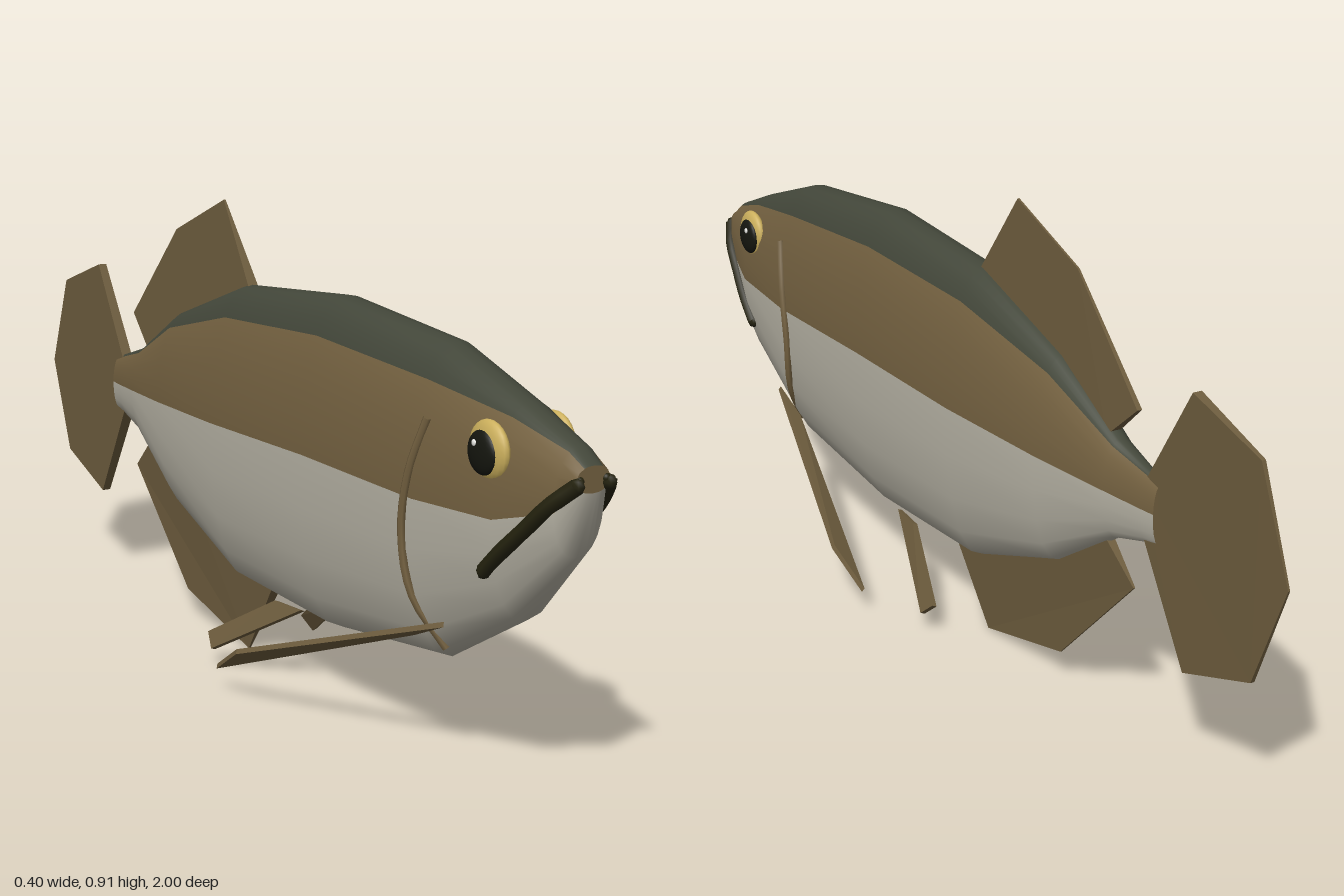
import * as THREE from 'three';
import { ConvexGeometry } from 'three/addons/geometries/ConvexGeometry.js';

const mat = (name, color, extra = {}) => {
  const m = new THREE.MeshStandardMaterial({ color, ...extra });
  m.name = name;
  return m;
};

// Body stations: z, top, bottom, half width, lower edge of back colour, upper edge of belly colour
const STATIONS = [
  [0.99, 0.62, 0.575, 0.034, 0.617, 0.582],
  [0.955, 0.645, 0.46, 0.052, 0.638, 0.54],
  [0.83, 0.692, 0.32, 0.08, 0.672, 0.505],
  [0.62, 0.76, 0.195, 0.094, 0.7, 0.495],
  [0.27, 0.79, 0.15, 0.1, 0.72, 0.5],
  [-0.08, 0.76, 0.16, 0.094, 0.7, 0.49],
  [-0.35, 0.665, 0.255, 0.07, 0.635, 0.48],
  [-0.53, 0.56, 0.37, 0.04, 0.55, 0.47],
  [-0.62, 0.532, 0.395, 0.024, 0.526, 0.465],
  [-0.655, 0.522, 0.4, 0.02, 0.517, 0.465],
];

const bulge = (c) => Math.sign(c) * Math.abs(c) ** 0.85;

// Half width of the body at a given z and y
function surfaceX(z, y) {
  let i = 0;
  while (i < STATIONS.length - 2 && STATIONS[i + 1][0] > z) i++;
  const a = STATIONS[i], b = STATIONS[i + 1];
  const t = (a[0] - z) / (a[0] - b[0]);
  const [top, bot, w] = [1, 2, 3].map((k) => THREE.MathUtils.lerp(a[k], b[k], t));
  const s = (y - (top + bot) / 2) / ((top - bot) / 2);
  return w * bulge(Math.sqrt(Math.max(0, 1 - s * s)));
}

// Lofted body with back, flank and belly bands as material groups
function bodyGeometry() {
  const BANDS = [[4, 1], [8, 0], [4, 1], [10, 2]];
  const n = 26;
  const pos = [];
  const lists = [[], [], []];
  STATIONS.forEach(([z, top, bot, w, yd, yw]) => {
    const cy = (top + bot) / 2, h = (top - bot) / 2;
    const ad = Math.asin((yd - cy) / h), aw = Math.asin((yw - cy) / h);
    const edges = [aw, ad, Math.PI - ad, Math.PI - aw, 2 * Math.PI + aw];
    BANDS.forEach(([count], k) => {
      for (let j = 0; j < count; j++) {
        const a = THREE.MathUtils.lerp(edges[k], edges[k + 1], j / count);
        pos.push(w * bulge(Math.cos(a)), cy + h * Math.sin(a), z);
      }
    });
  });
  for (let i = 0; i < STATIONS.length - 1; i++) {
    let j = 0;
    BANDS.forEach(([count, colour]) => {
      for (let k = 0; k < count; k++, j++) {
        const a = i * n + j, b = i * n + ((j + 1) % n);
        lists[colour].push(a, a + n, b, b, a + n, b + n);
      }
    });
  }
  // Flat snout and tail-root caps
  [0, STATIONS.length - 1].forEach((s) => {
    const base = pos.length / 3;
    const [z, top, bot] = STATIONS[s];
    pos.push(...pos.slice(s * n * 3, (s + 1) * n * 3), 0, (top + bot) / 2, z);
    for (let j = 0; j < n; j++) {
      const a = base + j, b = base + ((j + 1) % n);
      lists[1].push(base + n, ...(s === 0 ? [a, b] : [b, a]));
    }
  });
  const g = new THREE.BufferGeometry();
  g.setAttribute('position', new THREE.Float32BufferAttribute(pos, 3));
  g.setIndex(lists.flat());
  let start = 0;
  lists.forEach((l, i) => {
    g.addGroup(start, l.length, i);
    start += l.length;
  });
  g.computeVertexNormals();
  return g;
}

// Upright fin on the centre plane: outline in (z, y), thickness given by a rule
function finGeometry(outline, thickness) {
  const shape = new THREE.Shape(outline.map(([z, y]) => new THREE.Vector2(z, y)));
  const g = new THREE.ExtrudeGeometry(shape, { depth: 1, bevelEnabled: false });
  g.rotateY(-Math.PI / 2).translate(0.5, 0, 0);
  const p = g.attributes.position;
  for (let i = 0; i < p.count; i++) p.setX(i, p.getX(i) * thickness(p.getZ(i), p.getY(i)));
  g.computeVertexNormals();
  return g;
}

// Thin four-cornered plate
function plateGeometry(corners, thickness) {
  const v = corners.map((c) => new THREE.Vector3(...c));
  const normal = v[2].clone().sub(v[0]).cross(v[3].clone().sub(v[1])).normalize();
  return new ConvexGeometry(
    v.flatMap((c) => [-0.5, 0.5].map((s) => c.clone().addScaledVector(normal, s * thickness))));
}

export function createModel() {
  const back = mat('dark back', 0x43473a);
  const flank = mat('brown flank', 0x756241);
  const belly = mat('pale belly', 0xb8b4a6);
  const fin = mat('fin brown', 0x6e5d3e);
  const mouth = mat('mouth dark', 0x25230f, { side: THREE.DoubleSide });
  const gold = mat('eye gold', 0xcbaf5c);
  const black = mat('pupil black', 0x15160f);
  const white = mat('eye glint', 0xf2f2ee);

  const fish = new THREE.Group();
  fish.name = 'fish';
  const add = (name, geometry, material) => {
    const m = new THREE.Mesh(geometry, material);
    m.name = name;
    fish.add(m);
    return m;
  };

  add('body', bodyGeometry(), [back, flank, belly]);

  // Centre fins, thick at the root and thin at the edge
  const taper = (v, from, to) => THREE.MathUtils.mapLinear(
    THREE.MathUtils.clamp(v, Math.min(from, to), Math.max(from, to)), from, to, 0.024, 0.004);
  add('dorsalFin', finGeometry(
    [[-0.06, 0.74], [-0.185, 0.917], [-0.385, 0.835], [-0.58, 0.63], [-0.5, 0.56], [-0.35, 0.62]],
    (z, y) => taper(y + Math.max(0, -z - 0.185) * 0.6, 0.76, 0.917)), fin);
  add('analFin', finGeometry(
    [[0.03, 0.18], [-0.09, 0.003], [-0.35, 0.063], [-0.58, 0.29], [-0.5, 0.36], [-0.3, 0.26]],
    (z, y) => taper(y - Math.max(0, -z - 0.09) * 0.6, 0.16, 0.003)), fin);
  add('tailFin', finGeometry(
    [[-0.61, 0.5], [-0.74, 0.715], [-0.92, 0.655], [-1, 0.455], [-0.92, 0.255], [-0.74, 0.195], [-0.61, 0.42]],
    (z) => taper(z, -0.64, -1)), fin);

  for (const s of [1, -1]) {
    const side = s > 0 ? 'left' : 'right';
    const curve = (pts) => new THREE.CatmullRomCurve3(pts.map(([x, y, z]) => new THREE.Vector3(s * x, y, z)));
    const mirror = (pts) => pts.map(([x, y, z]) => [s * x, y, z]);

    // Paired fins
    add(side + 'PectoralFin', plateGeometry(mirror(
      [[0.07, 0.285, 0.69], [0.198, 0.115, 0.2], [0.184, 0.054, 0.1], [0.068, 0.245, 0.6]]), 0.01), fin);
    add(side + 'PelvicFin', plateGeometry(mirror(
      [[0.045, 0.168, 0.19], [0.12, 0.04, -0.03], [0.11, 0.066, -0.06], [0.055, 0.168, 0.11]]), 0.01), fin);

    // Gill line following the body surface
    const gill = [[0.645, 0.64], [0.612, 0.54], [0.595, 0.43], [0.61, 0.32], [0.65, 0.225]]
      .map(([z, y]) => [surfaceX(z, y) + 0.002, y, z]);
    add(side + 'GillLine', new THREE.TubeGeometry(curve(gill), 16, 0.008, 6), flank);

    // Mouth line
    const lip = [[0.99, 0.59], [0.95, 0.553], [0.9, 0.503], [0.85, 0.455], [0.805, 0.41]]
      .map(([z, y]) => [Math.max(0.03, surfaceX(z, y)), y, z]);
    add(side + 'MouthLine', new THREE.TubeGeometry(curve(lip), 10, 0.014, 6), mouth);
    for (const i of [0, 4]) {
      const end = add(side + 'MouthEnd', new THREE.SphereGeometry(0.0135, 6, 4), mouth);
      end.position.set(s * lip[i][0], lip[i][1], lip[i][2]);
    }

    // Eye, pupil, glint and nostril
    const ball = (name, r, x, y, z, flat, material) => {
      const m = add(side + name, new THREE.SphereGeometry(r, 20, 14), material);
      m.position.set(s * x, y, z);
      m.scale.x = flat;
    };
    ball('Eye', 0.052, 0.067, 0.615, 0.805, 0.36, gold);
    ball('Pupil', 0.038, 0.079, 0.612, 0.802, 0.34, black);
    ball('Glint', 0.006, 0.09, 0.628, 0.793, 0.5, white);
    ball('Nostril', 0.008, 0.027, 0.597, 0.988, 1, mouth);
  }
  return fish;
}
